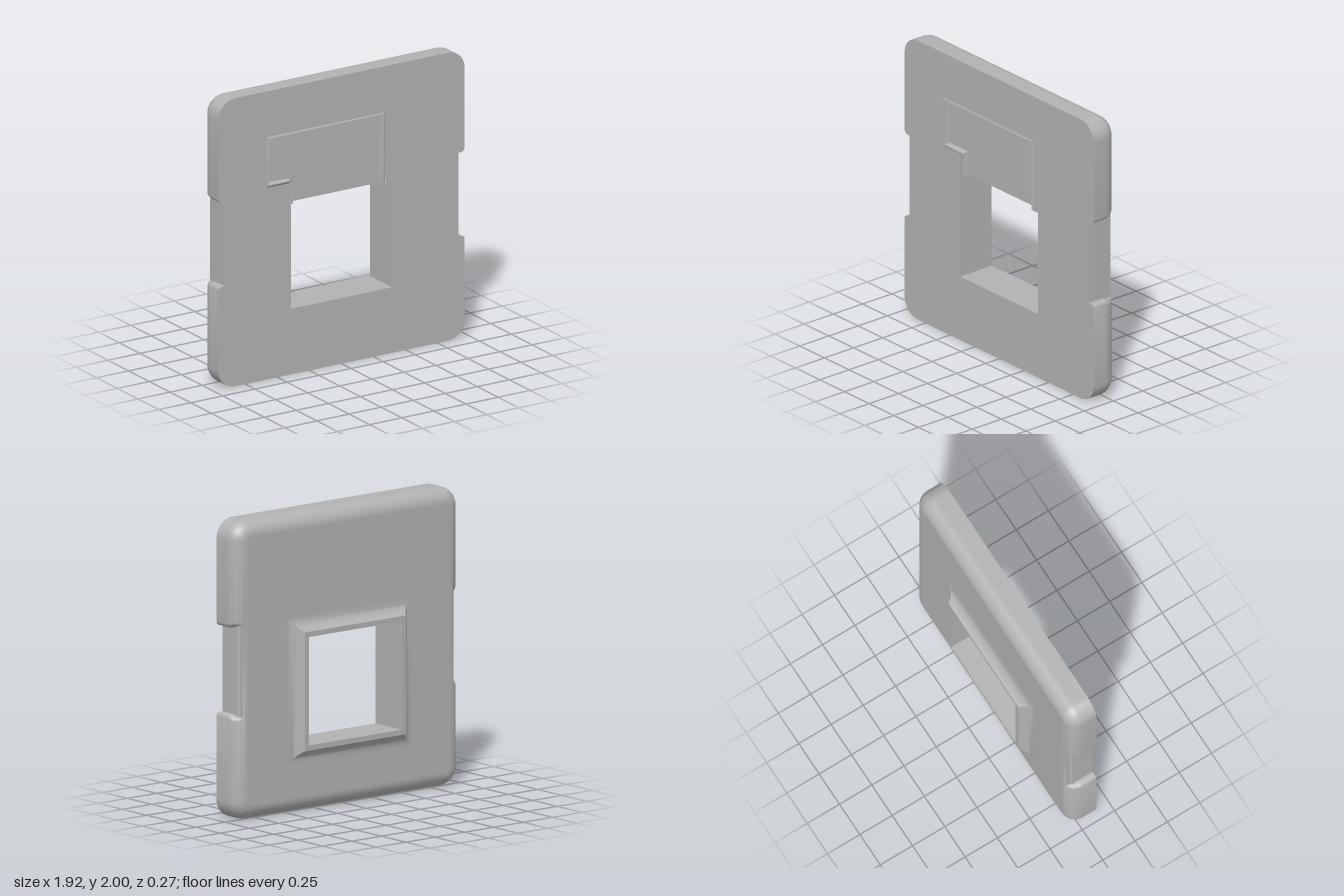
import * as THREE from 'three';
import { toCreasedNormals } from 'three/addons/utils/BufferGeometryUtils.js';

const FRONT = 0.135, BACK = -0.07, RIM = -0.135, FLOOR = 0.085;
const HOLE = { x: 0.395, y0: 0.455, y1: 1.18 };

// Points of a circular arc, angles in degrees
function arc(cx, cy, r, a0, a1, n) {
  return Array.from({ length: n + 1 }, (_, i) => {
    const a = THREE.MathUtils.degToRad(a0 + (a1 - a0) * i / n);
    return [cx + r * Math.cos(a), cy + r * Math.sin(a)];
  });
}

// Skin through rings of [x, y] points, each at its own z
function loft(rings, closed = true) {
  const pos = [];
  for (let k = 0; k < rings.length - 1; k++) {
    const a = rings[k], b = rings[k + 1], n = a.pts.length;
    for (let i = 0; i < (closed ? n : n - 1); i++) {
      const j = (i + 1) % n;
      const A = [...a.pts[i], a.z], B = [...a.pts[j], a.z];
      const C = [...b.pts[j], b.z], D = [...b.pts[i], b.z];
      pos.push(...A, ...D, ...C, ...A, ...C, ...B);
    }
  }
  const g = new THREE.BufferGeometry();
  g.setAttribute('position', new THREE.Float32BufferAttribute(pos, 3));
  return toCreasedNormals(g, 0.6);
}

// Flat face from an outline with optional holes
function plate(outline, holes = []) {
  const vec = pts => pts.map(p => new THREE.Vector2(...p));
  const s = new THREE.Shape(vec(outline));
  s.holes = holes.map(h => new THREE.Path(vec(h)));
  return new THREE.ShapeGeometry(s);
}

const rect = (o = 0) => [
  [-HOLE.x - o, HOLE.y0 - o], [HOLE.x + o, HOLE.y0 - o],
  [HOLE.x + o, HOLE.y1 + o], [-HOLE.x - o, HOLE.y1 + o]];

// Rounded outline with side notches, shrunk by d
function outline(d, z) {
  const X = 0.96 - d, R = 0.13 - d;
  const F = Math.min(z < -0.03 ? 0.897 : 0.91, X);
  const r = Math.min(0.03, X - F), o = Math.min(d, 0.015);
  const yb = 0.71 - o, yt = 1.29 + o;
  const right = [
    ...arc(X - R, d + R, R, -90, 0, 10),
    ...arc(X - r, yb - r, r, 0, 90, 5),
    [F, yb], [F, yt],
    ...arc(X - r, yt + r, r, -90, 0, 5),
    ...arc(X - R, 2 - d - R, R, 0, 90, 10)];
  return [...right, ...right.map(([x, y]) => [-x, y]).reverse()];
}

// Recess boundary, from the hole's top right round to its top left
const recess = o => [
  [0.33 + o, HOLE.y1], [0.33 + o, 1.665 + o], [-0.565 - o, 1.665 + o],
  [-0.565 - o, 1.345 - o], [-0.38 - o, 1.345 - o], [-0.38 - o, HOLE.y1]];

export function createModel() {
  const group = new THREE.Group();
  const grey = new THREE.MeshStandardMaterial({ color: 0xb2b2b2, side: THREE.DoubleSide });
  grey.name = 'plain grey';
  const add = (name, geometry, z = 0) => {
    const m = new THREE.Mesh(geometry, grey);
    m.name = name;
    m.position.z = z;
    group.add(m);
    return m;
  };

  // Outer wall with a rounded back edge
  const wall = [{ pts: outline(0, FRONT), z: FRONT }];
  for (const [c, s] of arc(0, 0, 0.1, 0, 90, 12)) {
    const z = BACK + 0.1 - s;
    wall.push({ pts: outline(0.1 - c, z), z });
  }
  add('outerWall', loft(wall));

  // Front face, pierced by the window and the stepped recess
  add('frontFace', plate(outline(0, FRONT), [[
    [-HOLE.x, HOLE.y0], [HOLE.x, HOLE.y0], [HOLE.x, HOLE.y1], ...recess(0.015)]]), FRONT);

  // Back face, turned to look backwards
  const back = add('backFace', plate(outline(0.1, BACK), [rect(0.135)]), BACK);
  back.rotation.y = Math.PI;

  // Raised collar with a hollow flare and mitred corners
  const R = 0.109, flare = [];
  for (const [a, b] of arc(0.135, R, R, -90, -156, 10)) {
    flare.push({ pts: rect(a), z: BACK - b });
  }
  flare[flare.length - 1].z = RIM;
  add('collarFlare', loft(flare));
  const rim = add('collarRim', plate(rect(flare[flare.length - 1].pts[1][0] - HOLE.x), [rect()]), RIM);
  rim.rotation.y = Math.PI;

  // Recess: rounded lip, straight sides and floor
  const lip = arc(0.015, FRONT - 0.015, 0.015, 90, 180, 5);
  const sides = lip.map(([o, z]) => ({ pts: recess(0.015 - o), z }));
  sides.push({ pts: recess(0), z: FLOOR });
  // the lip turns over from the front face into the straight side
  add('recessSides', loft(sides.reverse(), false));
  add('recessFloor', plate(recess(0)), FLOOR);

  // Window sides and sill
  const [bl, br, tr, tl] = rect();
  const u = [tr, br, bl, tl];
  add('windowSides', loft([{ pts: u, z: FRONT }, { pts: u, z: RIM }], false));

  // Window head, cut away where the recess runs into it
  const cut = lip.map(([o, z]) => [0.015 - o, z]);
  const head = add('windowHead', plate([
    [-HOLE.x, RIM], [HOLE.x, RIM], [HOLE.x, FRONT],
    ...cut.map(([o, z]) => [0.33 + o, z]), [0.33, FLOOR],
    [-0.38, FLOOR], ...cut.map(([o, z]) => [-0.38 - o, z]).reverse()]));
  head.rotation.x = Math.PI / 2;
  head.position.y = HOLE.y1;

  return group;
}
